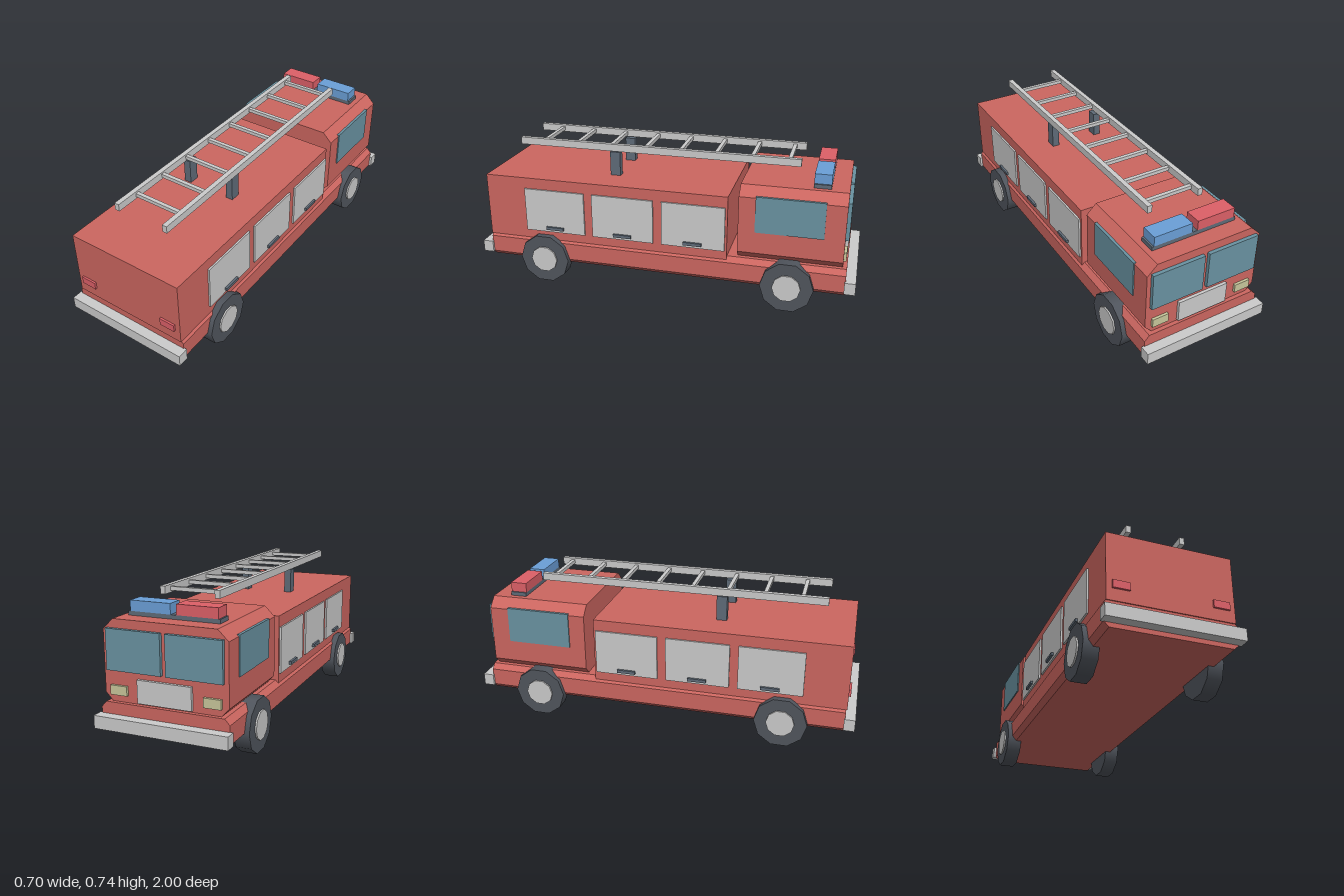
import * as THREE from 'three';

const mat = (color) => new THREE.MeshStandardMaterial({ color });
const red = mat(0xcc6660), grey = mat(0xcccccc), dark = mat(0x5f6b78), tyreMat = mat(0x50555d);
const glass = mat(0x6a93a2), lampRed = mat(0xdd6068), lampBlue = mat(0x6ba0d8), lampCream = mat(0xc9c79c);

export function createModel() {
  const model = new THREE.Group();
  model.name = 'fireEngine';

  const add = (name, geometry, material) => {
    const mesh = new THREE.Mesh(geometry, material);
    mesh.name = name;
    model.add(mesh);
    return mesh;
  };
  // box given by its limits on each axis
  const box = (name, material, [x0, x1], [y0, y1], [z0, z1]) =>
    add(name, new THREE.BoxGeometry(x1 - x0, y1 - y0, z1 - z0), material)
      .position.set((x0 + x1) / 2, (y0 + y1) / 2, (z0 + z1) / 2);
  // the same box on both sides of the centre line
  const pair = (name, material, [x0, x1], y, z) => {
    box(name + 'Left', material, [x0, x1], y, z);
    box(name + 'Right', material, [-x1, -x0], y, z);
  };
  // half outline mirrored in x and extruded along z
  const hull = (name, half, z0, z1) => {
    const points = [...half, ...half.map(([x, y]) => [-x, y]).reverse()];
    const shape = new THREE.Shape(points.map(([x, y]) => new THREE.Vector2(x, y)));
    const geometry = new THREE.ExtrudeGeometry(shape, { depth: z1 - z0, bevelEnabled: false });
    add(name, geometry, red).position.z = z0;
  };

  // chassis, rear body and chamfered cab; the cab faces -z
  hull('chassis', [[0.295, 0.105], [0.32, 0.13], [0.32, 0.22], [0.295, 0.247]], -0.95, 0.95);
  box('rearBody', red, [-0.31, 0.31], [0.232, 0.572], [-0.353, 0.955]);
  hull('cab', [[0.27, 0.245], [0.308, 0.285], [0.308, 0.58], [0.257, 0.63]], -0.93, -0.405);

  // bumpers
  box('frontBumper', grey, [-0.333, 0.333], [0.128, 0.19], [-1, -0.945]);
  box('rearBumper', grey, [-0.333, 0.333], [0.128, 0.19], [0.945, 1]);

  // wheels
  for (const z of [-0.665, 0.635]) {
    for (const side of [1, -1]) {
      const place = (name, radius, x0, x1, material) => {
        const geometry = new THREE.CylinderGeometry(radius, radius, x1 - x0, 10);
        geometry.rotateY(Math.PI / 2).rotateZ(Math.PI / 2).rotateX(Math.PI / 2);
        add(name, geometry, material).position.set(side * (x0 + x1) / 2, 0.129, z);
      };
      place('tyre', 0.135, 0.265, 0.344, tyreMat);
      place('hub', 0.072, 0.3, 0.352, grey);
    }
  }

  // locker shutters with handles
  for (const z of [0.572, 0.198, -0.177]) {
    pair('locker', grey, [0.3, 0.319], [0.28, 0.514], [z - 0.165, z + 0.165]);
    pair('lockerHandle', dark, [0.315, 0.331], [0.295, 0.311], [z - 0.048, z + 0.048]);
  }

  // cab windows, grille and lamps
  pair('sideWindow', glass, [0.3, 0.314], [0.4, 0.588], [-0.83, -0.49]);
  pair('windscreen', glass, [0.012, 0.287], [0.395, 0.588], [-0.948, -0.92]);
  box('grille', grey, [-0.135, 0.135], [0.255, 0.365], [-0.945, -0.92]);
  pair('headlamp', lampCream, [0.19, 0.275], [0.28, 0.325], [-0.943, -0.92]);
  pair('tailLamp', lampRed, [0.2, 0.282], [0.292, 0.33], [0.94, 0.965]);

  // warning lights on the cab roof
  box('lightBase', dark, [-0.228, 0.228], [0.628, 0.65], [-0.842, -0.757]);
  box('warningLightLeft', lampBlue, [0.014, 0.218], [0.65, 0.7], [-0.842, -0.757]);
  box('warningLightRight', lampRed, [-0.22, -0.015], [0.65, 0.7], [-0.842, -0.757]);

  // roof ladder on two posts
  pair('ladderPost', dark, [0.11, 0.148], [0.57, 0.7], [0.258, 0.312]);
  pair('ladderRail', grey, [0.127, 0.152], [0.705, 0.743], [-0.685, 0.815]);
  for (let i = 0; i < 8; i++) {
    const z = -0.625 + i * 0.1875;
    box('ladderRung', grey, [-0.13, 0.13], [0.715, 0.734], [z - 0.01, z + 0.01]);
  }

  return model;
}
